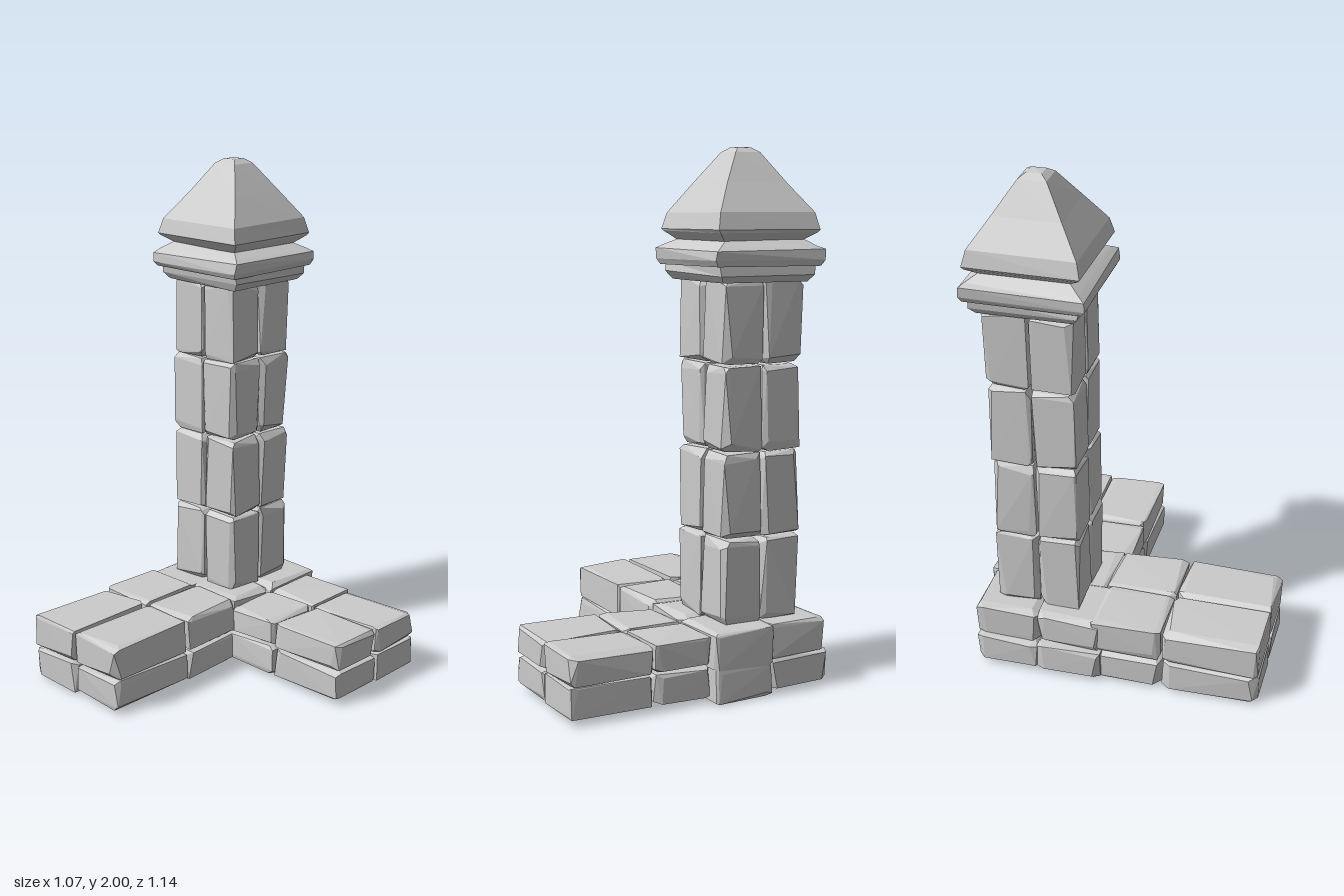
import * as THREE from 'three';
import { ConvexGeometry } from 'three/addons/geometries/ConvexGeometry.js';

const material = new THREE.MeshStandardMaterial({ color: 0xcccccc, flatShading: true });

// Small seeded generator for the chisel marks
let seed = 11;
const rand = (a, b) => {
  seed = (seed * 16807) % 2147483647;
  return a + (b - a) * (seed / 2147483647);
};

// Rough-hewn block: a box whose corners are cut back by uneven chamfers
function stone(name, [x0, x1], [y0, y1], [z0, z1]) {
  const lo = [x0, y0, z0], hi = [x1, y1, z1], points = [];
  for (let corner = 0; corner < 8; corner++) {
    for (let face = 0; face < 3; face++) {
      const p = [0, 1, 2].map((axis) => {
        const size = hi[axis] - lo[axis];
        const cut = axis === face ? rand(0, 0.006) : Math.min(size * 0.2, 0.04) * rand(0.1, 1);
        return corner & (1 << axis) ? hi[axis] - cut : lo[axis] + cut;
      });
      points.push(new THREE.Vector3(...p));
    }
  }
  const mesh = new THREE.Mesh(new ConvexGeometry(points), material);
  mesh.name = name;
  return mesh;
}

// Square stack of [half width, height] rings, slightly worn out of true
function squareLoft(name, rings, wear) {
  const profile = rings.map(([half, y]) => new THREE.Vector2(half * Math.SQRT2, y));
  const geometry = new THREE.LatheGeometry(profile, 4, Math.PI / 4);
  const pos = geometry.attributes.position;
  for (let i = 0; i < pos.count; i++) {
    const x = pos.getX(i), y = pos.getY(i), z = pos.getZ(i);
    const k = Math.sin(x * 31 + y * 47 + z * 23) * wear;
    pos.setXYZ(i, x * (1 + k), y + (y < 1.95 ? k * 0.2 : 0), z * (1 - k));
  }
  geometry.computeVertexNormals();
  const mesh = new THREE.Mesh(geometry, material);
  mesh.name = name;
  return mesh;
}

// Fill a grid of x, y and z joints with stones
function masonry(name, xs, ys, zs) {
  const group = new THREE.Group();
  group.name = name;
  for (let i = 0; i + 1 < xs.length; i++)
    for (let j = 0; j + 1 < ys.length; j++)
      for (let k = 0; k + 1 < zs.length; k++)
        group.add(stone(name + 'Stone', [xs[i], xs[i + 1]], [ys[j], ys[j + 1]], [zs[k], zs[k + 1]]));
  return group;
}

export function createModel() {
  const model = new THREE.Group();
  model.name = 'stoneCornerPillar';

  // Low two-course walls forming an L, with a corner block under the pillar
  model.add(masonry('frontWall', [-0.51, -0.265, -0.02], [0.01, 0.135, 0.275], [-0.1, 0.188, 0.57]));
  model.add(masonry('sideWall', [-0.04, 0.2, 0.53], [0.02, 0.14, 0.25], [-0.535, -0.3, -0.06]));
  const corner = new THREE.Group();
  corner.name = 'cornerBase';
  for (const [y0, y1, out] of [[0.015, 0.14, 0.54], [0.13, 0.27, 0.515]]) {
    corner.add(
      stone('cornerStone', [-out, -0.27], [y0, y1], [-0.555, -0.3]),
      stone('cornerStone', [-0.28, -0.03], [y0 - 0.015, y1], [-0.575, -0.3]),
      stone('cornerStone', [-out, -0.27], [y0, y1], [-0.31, -0.05]),
      stone('cornerStone', [-0.28, -0.03], [y0, y1], [-0.31, -0.08]),
    );
  }
  model.add(corner);

  // Pillar of four courses, four stones each
  model.add(masonry('pillar', [-0.44, -0.273, -0.108], [0.26, 0.58, 0.9, 1.22, 1.535], [-0.487, -0.317, -0.15]));

  // Moulded cap and pyramid roof
  const cap = new THREE.Group();
  cap.name = 'cap';
  cap.position.set(-0.265, 0, -0.32);
  cap.add(
    squareLoft('capCollar', [[0, 1.52], [0.18, 1.52], [0.2, 1.545], [0.2, 1.585], [0, 1.585]], 0.02),
    squareLoft('capSlab', [[0, 1.575], [0.215, 1.575], [0.226, 1.595], [0.226, 1.63], [0.205, 1.645], [0.165, 1.67], [0, 1.67]], 0.02),
    squareLoft('capRoof', [[0, 1.65], [0.16, 1.66], [0.205, 1.695], [0.212, 1.705], [0.197, 1.765],
      [0.125, 1.87], [0.052, 1.98], [0.028, 1.997], [0, 2]], 0.02),
  );
  model.add(cap);
  return model;
}
